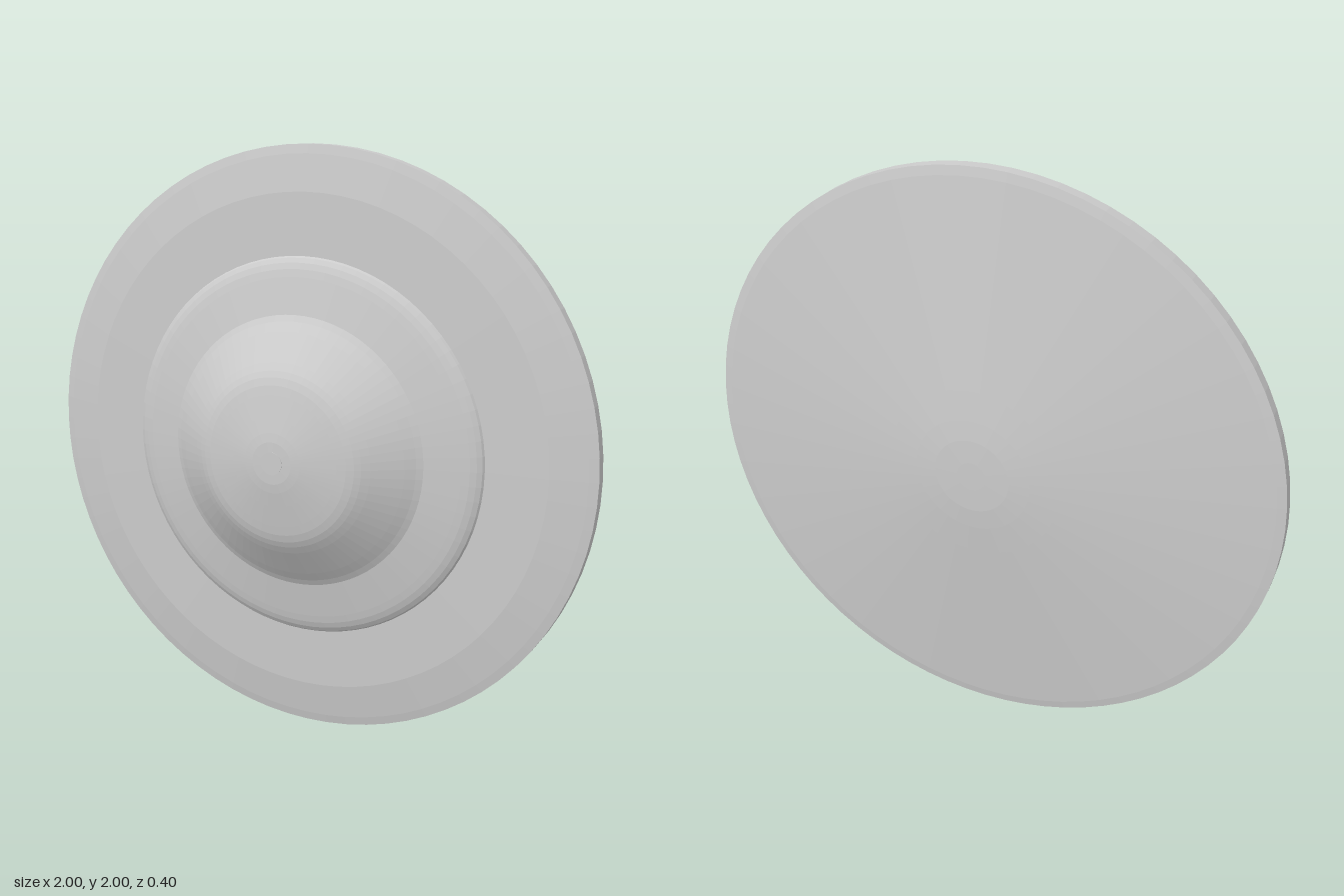
import * as THREE from 'three';

const material = new THREE.MeshStandardMaterial({ color: 0xcccccc, flatShading: true });

// Turns a [radius, z] profile, listed back to front, around the z axis
function turned(name, profile) {
  const points = profile.map(([r, z]) => new THREE.Vector2(r, z));
  const geometry = new THREE.LatheGeometry(points, 80);
  geometry.rotateX(Math.PI / 2);
  const mesh = new THREE.Mesh(geometry, material);
  mesh.name = name;
  return mesh;
}

export function createModel() {
  const group = new THREE.Group();
  group.name = 'shield';

  // Broad disc: shallow cone at the back, thin rim, bevelled front
  group.add(turned('disc', [
    [0, -0.2], [0.05, -0.2], [0.13, -0.198], [0.2, -0.192], [0.3, -0.181],
    [0.97, -0.104], [1, -0.098], [1, -0.057], [0.97, -0.05], [0.85, -0.031], [0.6, -0.024], [0, -0.024],
  ]));

  // Stepped boss: rounded collar, flared skirt and domed crown
  group.add(turned('boss', [
    [0.64, -0.03], [0.645, -0.022], [0.64, -0.014], [0.625, -0.004], [0.605, 0.004], [0.58, 0.01],
    [0.52, 0.022], [0.46, 0.034], [0.44, 0.046], [0.41, 0.068], [0.38, 0.089], [0.35, 0.11],
    [0.32, 0.131], [0.295, 0.147], [0.275, 0.157], [0.25, 0.165], [0.22, 0.171],
    [0.15, 0.184], [0.1, 0.193], [0.07, 0.197], [0.038, 0.198],
  ]));

  // Small centre button
  group.add(turned('centreButton', [[0.038, 0.19], [0.038, 0.2], [0, 0.2]]));

  group.position.y = 1;
  const model = new THREE.Group();
  model.add(group);
  return model;
}
